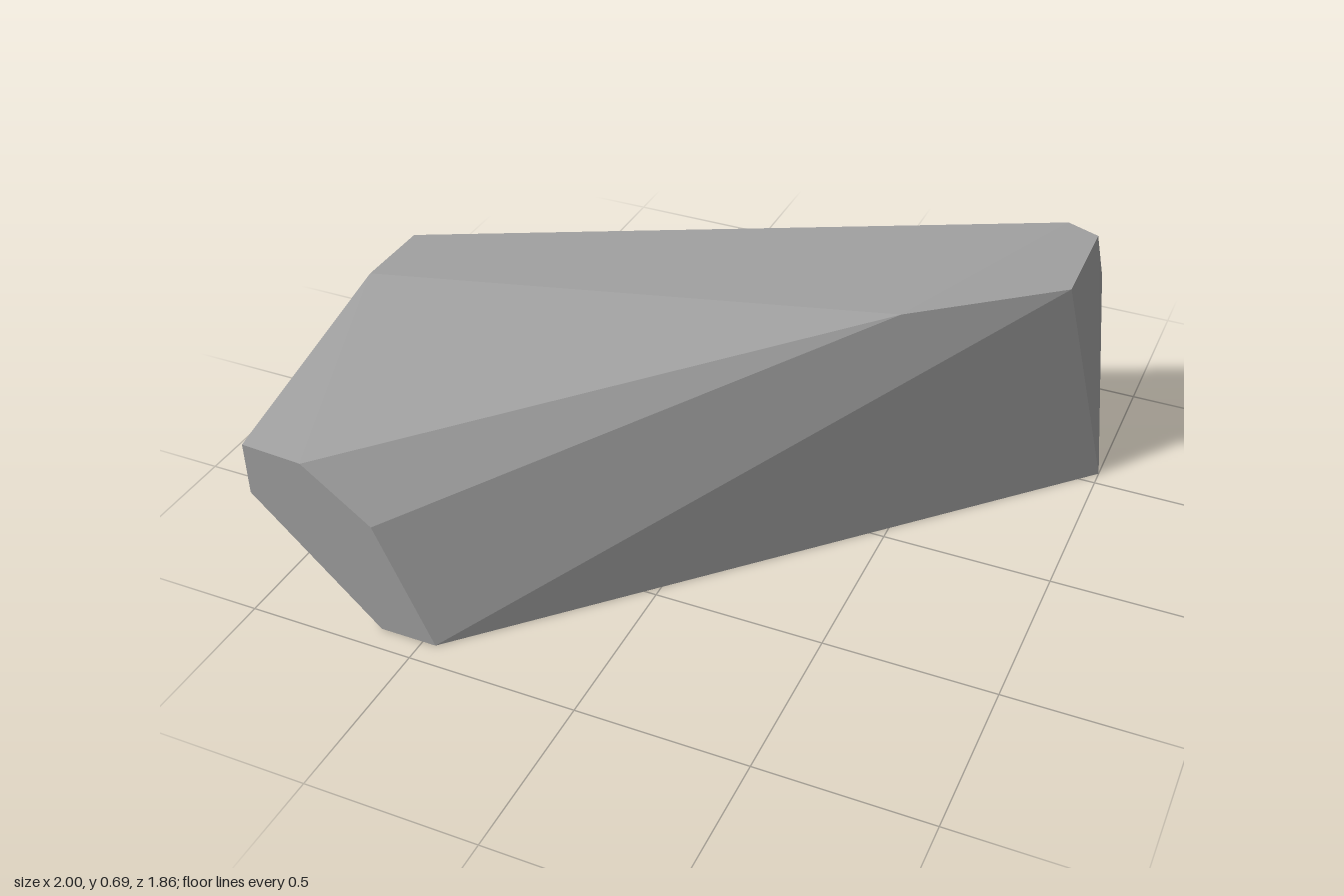
import * as THREE from 'three';
import { ConvexGeometry } from 'three/addons/geometries/ConvexGeometry.js';

// A long, faceted boulder: one convex solid spanned by its corner points.
const corners = {
  frontFace: [
    [-1, 0.36, 0.93], [-1, 0.52, 0.93], [-0.82, 0.51, 0.93],
    [-0.62, 0.36, 0.93], [-0.46, 0, 0.93], [-0.63, 0, 0.93],
  ],
  topFace: [
    [-1, 0.685, 0.27], [-1, 0.685, 0.03], [0.47, 0.685, -0.13],
    [0.76, 0.685, -0.82], [0.86, 0.68, -0.785], [0.865, 0.675, -0.465],
  ],
  backTip: [
    [0.86, 0.465, -0.93], [0.85, 0.15, -0.93],
  ],
  base: [
    [1, 0, -0.55], [0.88, 0, -0.87], [-0.63, 0, 0.2],
  ],
  rightSide: [
    [-1, 0.37, 0.17],
  ],
};

export function createModel() {
  const stone = new THREE.MeshStandardMaterial({ color: 0xa0a0a0, flatShading: true });
  stone.name = 'grey stone';

  const points = Object.values(corners).flat().map((p) => new THREE.Vector3(...p));
  const boulder = new THREE.Mesh(new ConvexGeometry(points), stone);
  boulder.name = 'boulder';

  const group = new THREE.Group();
  group.name = 'rock';
  group.add(boulder);
  return group;
}
